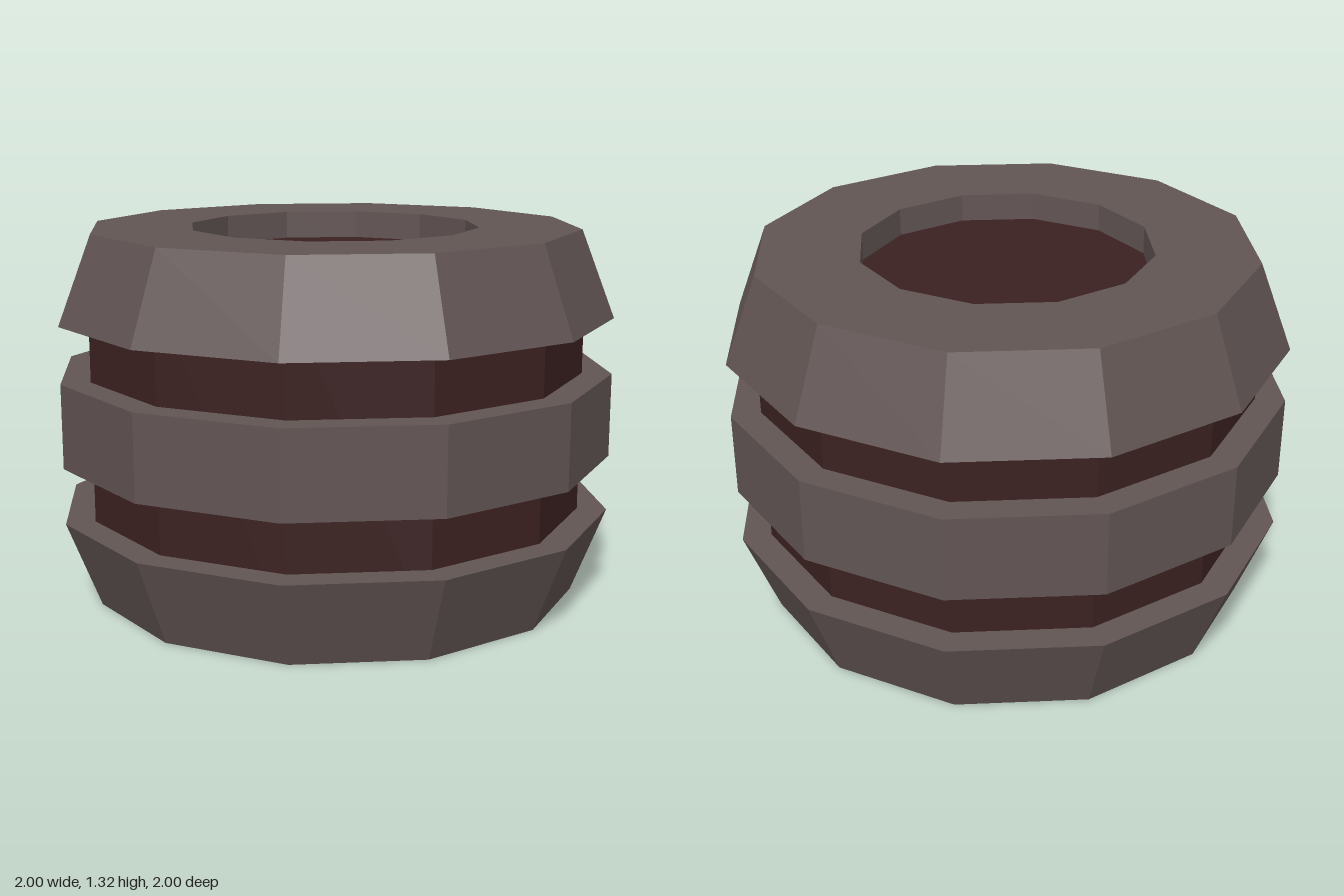
import * as THREE from 'three';

const SIDES = 12;

export function createModel() {
  const model = new THREE.Group();
  model.name = 'bandedBarrel';

  const shell = new THREE.MeshStandardMaterial({ color: 0x625554, flatShading: true });
  shell.name = 'warm grey shell';
  const coreRed = new THREE.MeshStandardMaterial({ color: 0x3c2121, flatShading: true });
  coreRed.name = 'dark red core';

  // Faceted solid of revolution; profile runs [radius, y] from the bottom, outside, to the top
  function turned(name, profile, material) {
    const points = profile.map(([r, y]) => new THREE.Vector2(r, y));
    const mesh = new THREE.Mesh(new THREE.LatheGeometry(points, SIDES), material);
    mesh.name = name;
    model.add(mesh);
  }

  // Inner core, seen between the bands and through the top opening
  turned('core', [[0, 0.1], [0.895, 0.1], [0.895, 1.22], [0, 1.22]], coreRed);

  // Closed base, flaring upwards
  turned('base', [[0, 0], [0.88, 0], [1, 0.31], [0.85, 0.31]], shell);

  // Straight middle band
  turned('middleBand', [[0.85, 0.51], [1, 0.51], [1, 0.81], [0.85, 0.81]], shell);

  // Tapered top ring with a recessed opening
  turned('topRing', [[0.85, 1.01], [1, 1.01], [0.88, 1.32], [0.52, 1.32], [0.52, 1.21]], shell);

  return model;
}
